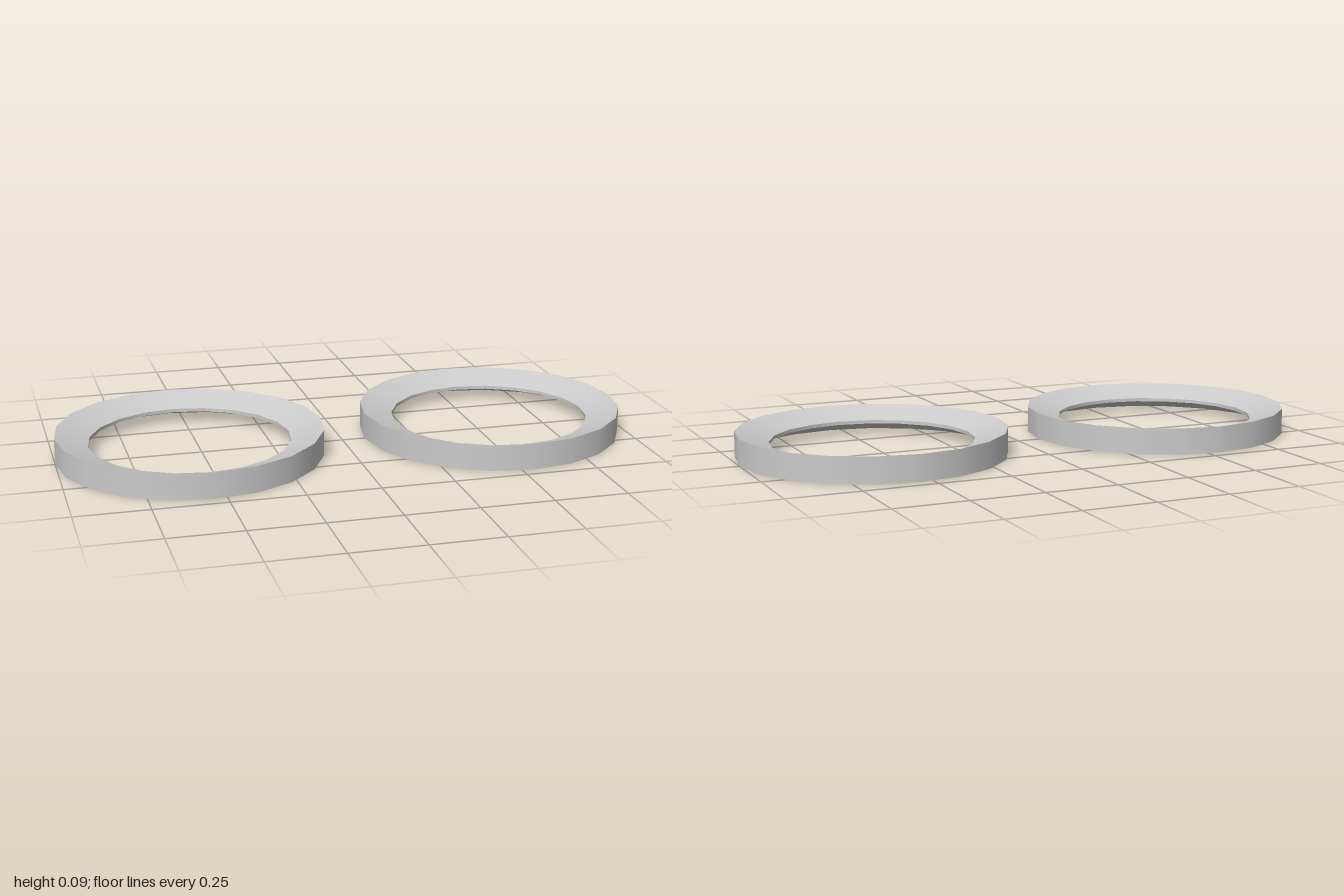
import * as THREE from 'three';
import { mergeGeometries } from 'three/addons/utils/BufferGeometryUtils.js';

const SIDES = 20;
const OUTER = 0.46, INNER = 0.347, HEIGHT = 0.09;
const LIP = 0.012; // height of the narrow inner wall
const OFFSET = 0.54;

// Ring whose bands are smooth around but keep sharp edges between them
function ringGeometry() {
  const mid = HEIGHT / 2;
  const profile = [
    [OUTER, 0], [OUTER, HEIGHT],
    [INNER, mid + LIP / 2], [INNER, mid - LIP / 2],
  ].map(([r, y]) => new THREE.Vector2(r, y));
  const bands = profile.map((p, i) =>
    new THREE.LatheGeometry([p, profile[(i + 1) % profile.length]], SIDES));
  return mergeGeometries(bands);
}

export function createModel() {
  const model = new THREE.Group();
  model.name = 'ringPair';
  const material = new THREE.MeshStandardMaterial({ color: 0xcccccc });
  const geometry = ringGeometry();

  // Two matching rings side by side
  for (const [name, side] of [['leftRing', 1], ['rightRing', -1]]) {
    const ring = new THREE.Mesh(geometry, material);
    ring.name = name;
    ring.position.x = side * OFFSET;
    model.add(ring);
  }
  return model;
}
